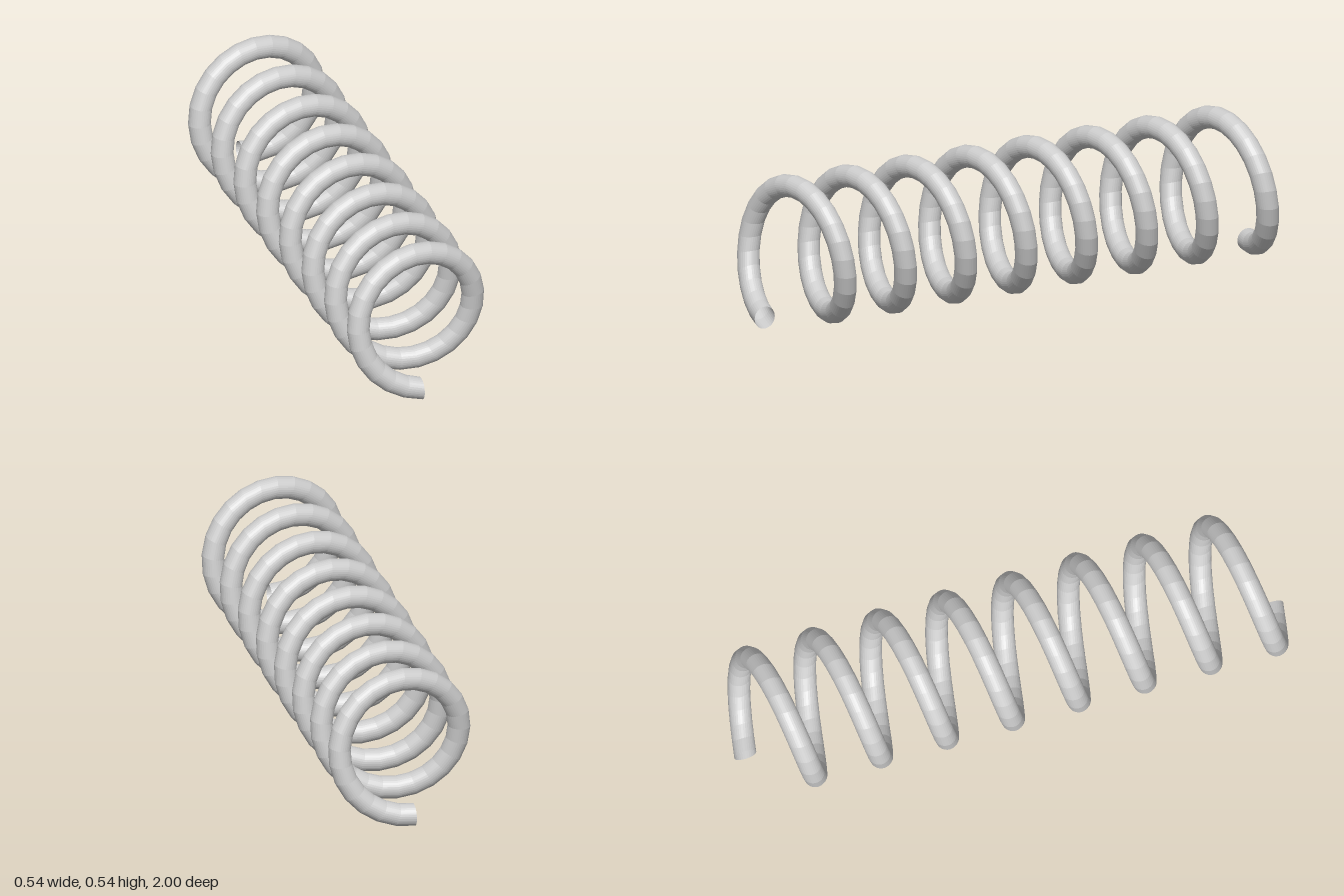
import * as THREE from 'three';

const TURNS = 8, STEPS = 25, SIDES = 32;      // turns, segments per turn, wire sides
const COIL = 0.2315, WIRE = 0.04;             // coil radius, wire radius
const OFFSET = -0.02, CENTRE_Y = 0.2725, HALF = 0.96;

// Sweep an upright wire ring around the z axis, from the front end to the back
function coilGeometry() {
  const positions = [], index = [];
  const rings = TURNS * STEPS;
  for (let i = 0; i <= rings; i++) {
    const t = (i / STEPS) * Math.PI * 2;
    const c = Math.cos(t), s = Math.sin(t);
    const z = HALF - (2 * HALF * i) / rings;
    for (let j = 0; j < SIDES; j++) {
      const a = (j / SIDES) * Math.PI * 2;
      const y = -COIL + WIRE * Math.cos(a);
      positions.push(OFFSET * c + y * s, CENTRE_Y - OFFSET * s + y * c, z + WIRE * Math.sin(a));
      if (i < rings) {
        const k = (j + 1) % SIDES;
        const p = i * SIDES + j, q = i * SIDES + k;
        index.push(p, p + SIDES, q + SIDES, p, q + SIDES, q);
      }
    }
  }
  const geometry = new THREE.BufferGeometry();
  geometry.setAttribute('position', new THREE.Float32BufferAttribute(positions, 3));
  geometry.setIndex(index);
  // Separate faces give the faceted wire
  const faceted = geometry.toNonIndexed();
  faceted.computeVertexNormals();
  return faceted;
}

export function createModel() {
  const group = new THREE.Group();
  group.name = 'coilSpring';
  // The wire is a hollow tube, open at both ends
  const steel = new THREE.MeshStandardMaterial({ color: 0xcccccc, flatShading: true, side: THREE.DoubleSide });
  steel.name = 'steelGrey';
  const coil = new THREE.Mesh(coilGeometry(), steel);
  coil.name = 'coil';
  group.add(coil);
  return group;
}
